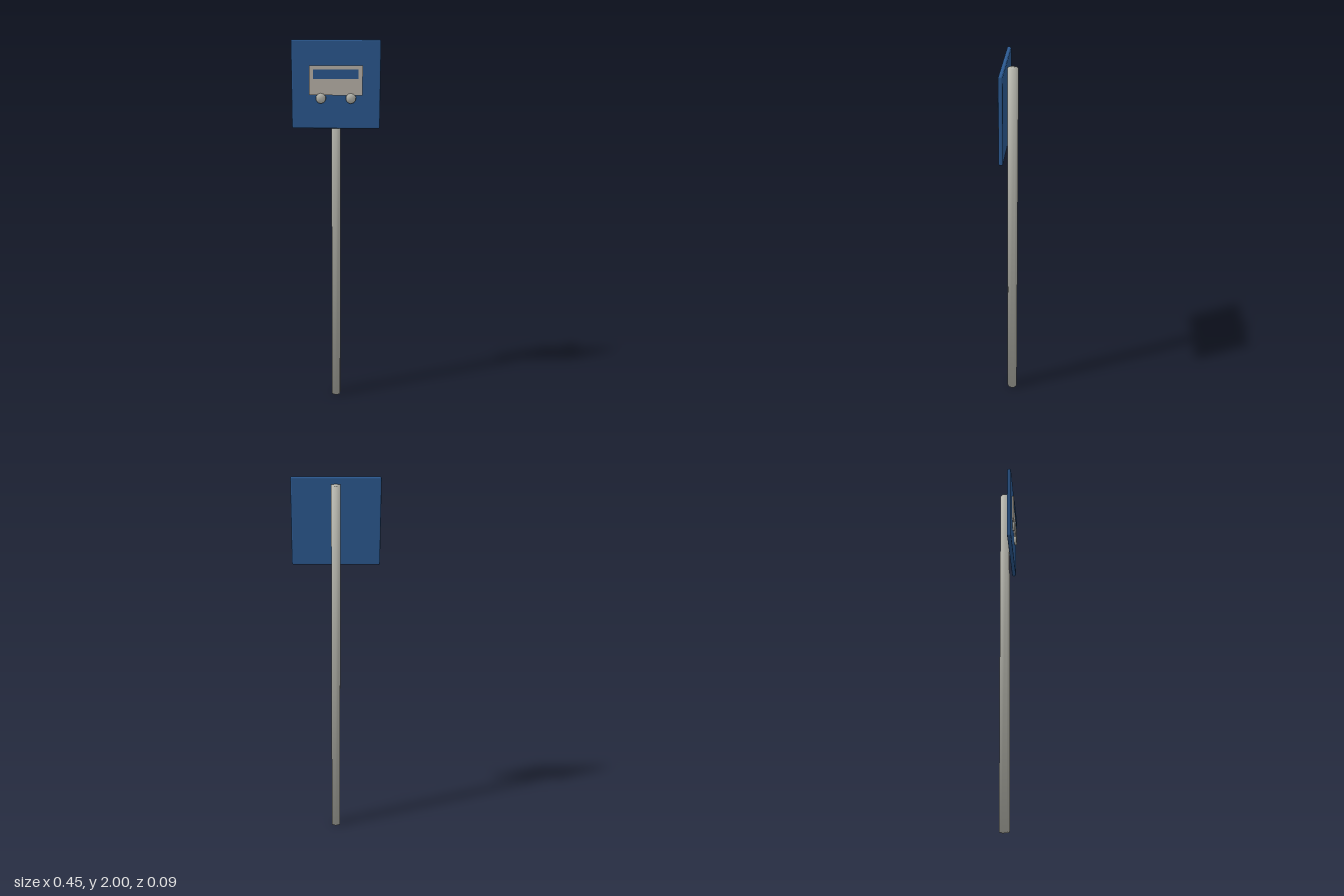
import * as THREE from 'three';
import { RoundedBoxGeometry } from 'three/addons/geometries/RoundedBoxGeometry.js';

const mat = (name, color) => {
  const m = new THREE.MeshStandardMaterial({ color });
  m.name = name;
  return m;
};

// Prism whose normals blend smoothly between sides and caps, weighted by corner angle
function softPrism(radius, height, sides) {
  const geo = new THREE.CylinderGeometry(radius, radius, height, sides);
  const pos = geo.attributes.position, normal = geo.attributes.normal;
  const out = 2 * Math.cos(Math.PI / sides), up = 2 - 4 / sides;
  const n = new THREE.Vector3();
  for (let i = 0; i < pos.count; i++) {
    n.set(pos.getX(i) / radius * out, Math.sign(pos.getY(i)) * up, pos.getZ(i) / radius * out).normalize();
    normal.setXYZ(i, n.x, n.y, n.z);
  }
  return geo;
}

export function createModel() {
  const group = new THREE.Group();
  group.name = 'busStopSign';
  const steel = mat('steel grey', 0xb9b9b0);
  const blue = mat('sign blue', 0x2c5a92);
  const pale = mat('pale grey', 0xbdb6ac);

  const add = (name, geo, material, x, y, z) => {
    const mesh = new THREE.Mesh(geo, material);
    mesh.name = name;
    mesh.position.set(x, y, z);
    group.add(mesh);
    return mesh;
  };

  // Hexagonal post behind a chamfered board
  add('post', softPrism(0.027, 1.966, 6), steel, 0, 0.983, -0.02);
  add('signBoard', new RoundedBoxGeometry(0.45, 0.447, 0.022, 1, 0.008), blue, 0, 1.7765, 0.018);

  // Raised bus symbol
  add('busBody', new THREE.BoxGeometry(0.27, 0.148, 0.012), pale, 0, 1.8, 0.033);
  add('busWindow', new THREE.BoxGeometry(0.228, 0.047, 0.006), blue, 0, 1.832, 0.04);
  for (const side of [-1, 1]) {
    const wheel = add(side > 0 ? 'leftWheel' : 'rightWheel',
      softPrism(0.026, 0.016, 10), steel, side * 0.076, 1.71, 0.035);
    wheel.rotation.x = Math.PI / 2;
  }
  return group;
}
